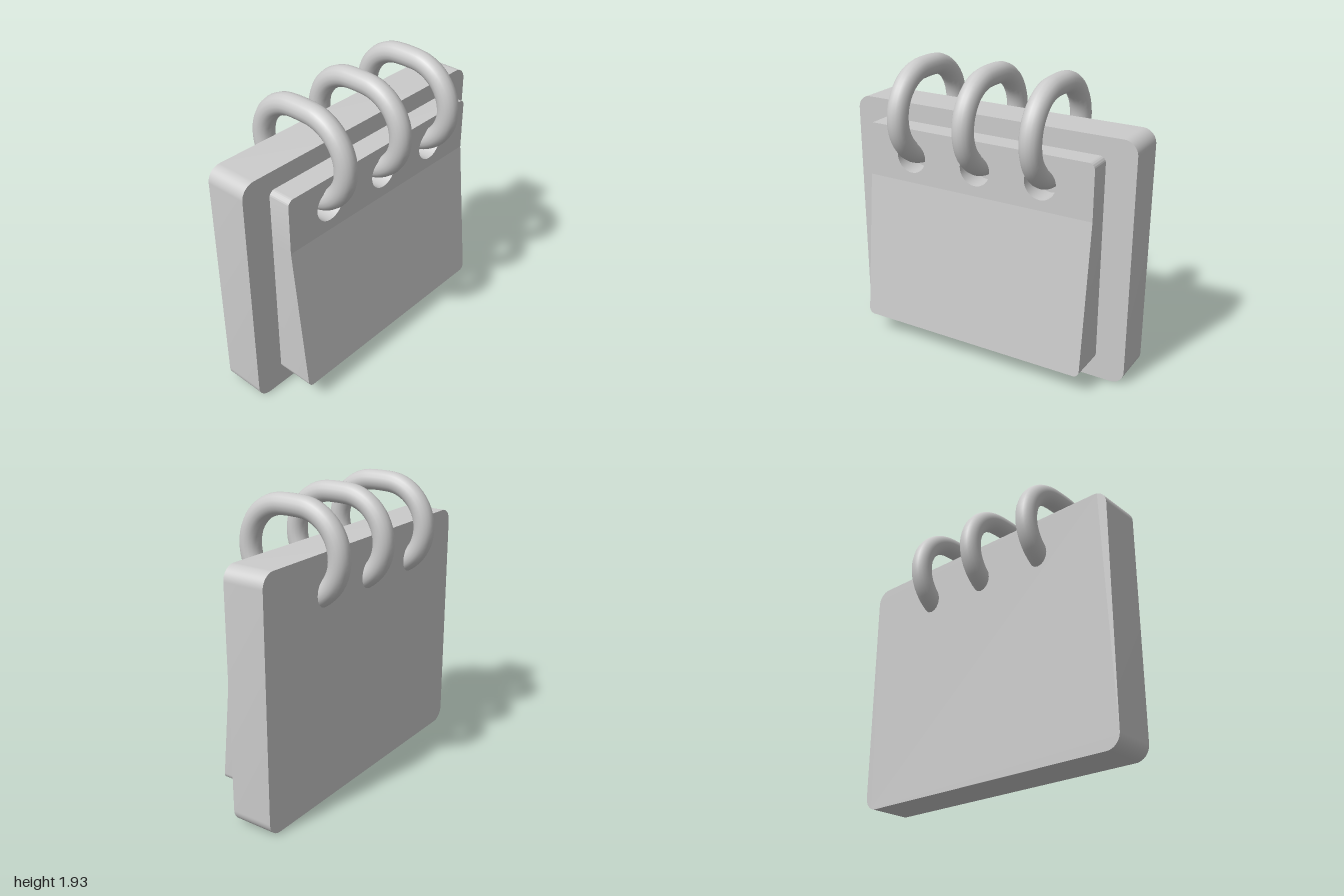
import * as THREE from 'three';
import { toCreasedNormals } from 'three/addons/utils/BufferGeometryUtils.js';

const material = new THREE.MeshStandardMaterial({ color: 0xcccccc, side: THREE.DoubleSide });
const ringXs = [-0.475, 0, 0.455];
const BACK = -0.225, FACE = 0.055, PAD_FACE = 0.205; // z levels
const CREASE = 1.13, PAD_BOTTOM = 0.13, FLARE = 0.105; // pad slope

// Rectangle with separate corner radii for the bottom and the top
function roundedRect(halfW, y0, y1, rBottom, rTop) {
  const s = new THREE.Shape();
  s.moveTo(-halfW + rBottom, y0);
  s.lineTo(halfW - rBottom, y0);
  if (rBottom) s.absarc(halfW - rBottom, y0 + rBottom, rBottom, -Math.PI / 2, 0);
  s.lineTo(halfW, y1 - rTop);
  if (rTop) s.absarc(halfW - rTop, y1 - rTop, rTop, 0, Math.PI / 2);
  s.lineTo(-halfW + rTop, y1);
  if (rTop) s.absarc(-halfW + rTop, y1 - rTop, rTop, Math.PI / 2, Math.PI);
  s.lineTo(-halfW, y0 + rBottom);
  if (rBottom) s.absarc(-halfW + rBottom, y0 + rBottom, rBottom, Math.PI, Math.PI * 1.5);
  return s;
}

function extrude(shape, z0, z1, curveSegments = 8) {
  const g = new THREE.ExtrudeGeometry(shape, { depth: z1 - z0, bevelEnabled: false, curveSegments });
  return g.translate(0, 0, z0);
}

// Drops the hidden wall where the two pad halves meet
function removeSeam(geometry) {
  const p = geometry.attributes.position;
  const kept = [];
  for (let i = 0; i < p.count; i += 3) {
    const onSeam = [0, 1, 2].every((k) => Math.abs(p.getY(i + k) - CREASE) < 1e-5);
    if (!onSeam) for (let k = 0; k < 3; k++) kept.push(p.getX(i + k), p.getY(i + k), p.getZ(i + k));
  }
  const g = new THREE.BufferGeometry();
  g.setAttribute('position', new THREE.Float32BufferAttribute(kept, 3));
  return g;
}

export function createModel() {
  const model = new THREE.Group();
  const add = (name, geometry, parent = model) => {
    const mesh = new THREE.Mesh(geometry, material);
    mesh.name = name;
    parent.add(mesh);
    return mesh;
  };

  // Backing board
  add('backBoard', toCreasedNormals(extrude(roundedRect(1, 0, 1.61, 0.09, 0.09), BACK, FACE), 0.5));

  // Page block: upright punched strip above, flaring pages below
  const pad = new THREE.Group();
  pad.name = 'pageBlock';
  model.add(pad);

  const strip = roundedRect(0.805, CREASE, 1.49, 0, 0.04);
  for (const x of ringXs) {
    strip.holes.push(new THREE.Path().absarc(x, 1.305, 0.107, 0, Math.PI * 2, true));
  }
  add('punchedStrip', toCreasedNormals(removeSeam(extrude(strip, FACE, PAD_FACE, 16)), 0.5), pad);

  const pages = removeSeam(extrude(roundedRect(0.805, PAD_BOTTOM, CREASE, 0.04, 0), FACE, PAD_FACE));
  const p = pages.attributes.position;
  for (let i = 0; i < p.count; i++) {
    if (p.getZ(i) > FACE + 0.01) {
      p.setZ(i, PAD_FACE + FLARE * (CREASE - p.getY(i)) / (CREASE - PAD_BOTTOM));
    }
  }
  add('flaringPages', toCreasedNormals(pages, 0.5), pad);

  // Binder rings: two half circles joined by short straight runs
  const path = [];
  const radius = 0.277, halfRun = 0.055, steps = 16;
  for (const side of [1, -1]) {
    for (let i = 0; i <= steps; i++) {
      const a = (i / steps) * Math.PI;
      path.push(new THREE.Vector3(0, 1.58 + side * radius * Math.cos(a), side * (halfRun + radius * Math.sin(a))));
    }
  }
  const curve = new THREE.CatmullRomCurve3(path, true);
  const ring = new THREE.TubeGeometry(curve, 64, 0.068, 16, true);
  for (const x of ringXs) add('binderRing', ring).position.x = x;

  return model;
}
